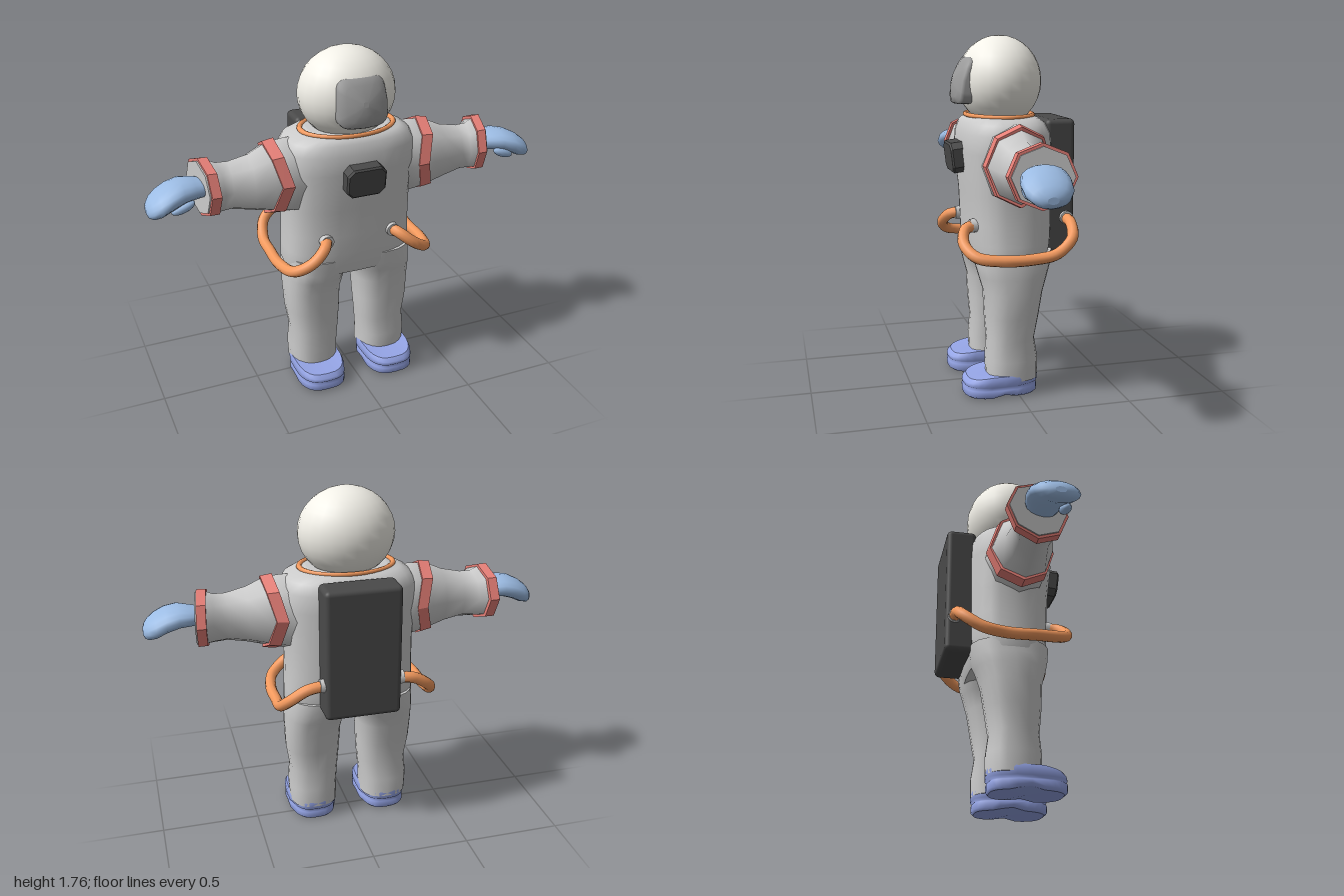
import * as THREE from 'three';
import { RoundedBoxGeometry } from 'three/addons/geometries/RoundedBoxGeometry.js';

const COLORS = {
  suit: 0xcccccc, helmet: 0xf2f0e8, visor: 0x9a9a9a, dark: 0x4a4a4a,
  band: 0xe88078, hose: 0xf49a5e, glove: 0x9cbce4, boot: 0x96a6e8,
};

const power = (v, e) => Math.sign(v) * Math.abs(v) ** (2 / e);

// Skin a list of rings (arrays of [x, y, z]) and close both ends.
function loft(rings, flat = false) {
  const n = rings[0].length, pos = [], idx = [];
  rings.forEach(r => r.forEach(p => pos.push(...p)));
  for (let i = 0; i < rings.length - 1; i++) {
    for (let j = 0; j < n; j++) {
      const a = i * n + j, b = i * n + (j + 1) % n;
      idx.push(a, a + n, b, b, a + n, b + n);
    }
  }
  [rings[0], rings[rings.length - 1]].forEach((r, end) => {
    const base = pos.length / 3, mid = [0, 1, 2].map(k => r.reduce((s, p) => s + p[k], 0) / n);
    r.forEach(p => pos.push(...p));
    pos.push(...mid);
    for (let j = 0; j < n; j++) {
      const a = base + j, b = base + (j + 1) % n;
      idx.push(base + n, end ? b : a, end ? a : b);
    }
  });
  let g = new THREE.BufferGeometry();
  g.setAttribute('position', new THREE.Float32BufferAttribute(pos, 3));
  g.setIndex(idx);
  if (flat) g = g.toNonIndexed();
  g.computeVertexNormals();
  return g;
}

// Sections stacked upwards: [y, x0, x1, z0, z1]
function stackY(sections, n, e, bend = p => p) {
  return loft(sections.map(([y, x0, x1, z0, z1]) => Array.from({ length: n }, (_, j) => {
    const t = j / n * Math.PI * 2, c = power(Math.cos(t), e), s = power(Math.sin(t), e);
    return bend([(x0 + x1) / 2 + c * (x1 - x0) / 2, y, (z0 + z1) / 2 + s * (z1 - z0) / 2]);
  })));
}

// Sections stacked outwards along the arm: [x, y0, y1, z0, z1]
function stackX(sections, n, e, bend = p => p, flat = false) {
  return loft(sections.map(([x, y0, y1, z0, z1]) => Array.from({ length: n }, (_, j) => {
    const t = j / n * Math.PI * 2, c = power(Math.cos(t), e), s = power(Math.sin(t), e);
    return bend([x, (y0 + y1) / 2 + s * (y1 - y0) / 2, (z0 + z1) / 2 + c * (z1 - z0) / 2], s);
  })), flat);
}

// Mirror a geometry across x = 0 and keep its faces outward.
function mirrored(geo) {
  const g = geo.index ? geo.toNonIndexed() : geo.clone();
  g.scale(-1, 1, 1);
  for (const a of Object.values(g.attributes)) {
    const k = a.itemSize;
    for (let i = 0; i < a.count; i += 3) {
      for (let c = 0; c < k; c++) {
        const u = (i + 1) * k + c, v = (i + 2) * k + c, tmp = a.array[u];
        a.array[u] = a.array[v];
        a.array[v] = tmp;
      }
    }
  }
  return g;
}

// Curved faceplate made from growing rounded squares, with a rim turned back.
function visorGeometry() {
  const ring = (k, drop) => Array.from({ length: 32 }, (_, j) => {
    const t = j / 32 * Math.PI * 2;
    const y = 1.545 + 0.115 * k * power(Math.cos(t), 5);
    const x = 0.125 * k * power(Math.sin(t), 5) * (1 - 0.5 * Math.max(0, y - 1.55));
    return [x, y, 0.272 - 2 * x * x - 2.1 * (y - 1.48) ** 2 - drop];
  });
  return loft([ring(1, 0.09), ring(1, 0.012), ring(0.94, 0), ring(0.7, 0), ring(0.4, 0), ring(0.1, 0)]);
}

export function createModel() {
  const model = new THREE.Group();
  model.name = 'astronaut';
  const mats = {};
  for (const k in COLORS) mats[k] = new THREE.MeshStandardMaterial({ color: COLORS[k] });
  const add = (name, geo, mat) => {
    const m = new THREE.Mesh(geo, mats[mat]);
    m.name = name;
    model.add(m);
    return m;
  };
  const pair = (name, geo, mat) => {
    add('left' + name, geo, mat);
    add('right' + name, mirrored(geo), mat);
  };

  // Torso
  add('torso', stackY([
    [0.64, -0.32, 0.32, -0.17, 0.185], [0.68, -0.333, 0.333, -0.185, 0.195],
    [0.76, -0.33, 0.33, -0.2, 0.207], [0.86, -0.325, 0.325, -0.205, 0.212],
    [1.0, -0.325, 0.325, -0.205, 0.218], [1.2, -0.34, 0.34, -0.205, 0.24],
    [1.29, -0.335, 0.335, -0.2, 0.232], [1.34, -0.31, 0.31, -0.175, 0.215],
    [1.365, -0.26, 0.26, -0.145, 0.195], [1.375, -0.2, 0.2, -0.11, 0.16],
  ], 28, 2.7), 'suit');

  // Legs
  pair('Leg', stackY([
    [0.08, 0.07, 0.315, -0.11, 0.145], [0.18, 0.07, 0.32, -0.11, 0.148],
    [0.28, 0.06, 0.312, -0.095, 0.14], [0.4, 0.052, 0.33, -0.115, 0.15],
    [0.52, 0.047, 0.335, -0.135, 0.155], [0.6, 0.03, 0.335, -0.16, 0.178],
    [0.65, 0, 0.333, -0.178, 0.19], [0.72, -0.02, 0.325, -0.19, 0.198],
  ], 20, 2.5), 'suit');

  // Boots: sole and upper split by a groove, raised instep, sloping toe
  pair('Boot', stackY([
    [0, 0.08, 0.305, -0.095, 0.25], [0.012, 0.067, 0.32, -0.105, 0.265],
    [0.044, 0.067, 0.32, -0.105, 0.265], [0.053, 0.077, 0.31, -0.097, 0.256],
    [0.062, 0.066, 0.321, -0.108, 0.265], [0.095, 0.066, 0.321, -0.11, 0.262],
    [0.112, 0.072, 0.315, -0.108, 0.245],
  ], 28, 2.9, ([x, y, z]) => [
    0.194 + (x - 0.194) * (z < 0 ? 0.93 : 1),
    y < 0.02 ? y + 0.018 * Math.exp(-(((z - 0.06) / 0.04) ** 2)) : y - (y > 0.07 ? Math.max(0, z - 0.13) * 0.14 : 0), z,
  ]), 'boot');

  // Arms end in a wrist plane turned slightly forward
  const skew = ([x, y, z]) => [x - (x > 0.65 ? 0.16 * (z - 0.02) : 0), y, z];
  pair('Arm', stackX([
    [0.24, 0.95, 1.35, -0.14, 0.18], [0.33, 0.965, 1.35, -0.13, 0.183],
    [0.41, 0.985, 1.342, -0.115, 0.178], [0.5, 1.01, 1.3, -0.078, 0.152],
    [0.6, 1.032, 1.278, -0.066, 0.132], [0.66, 1.03, 1.28, -0.08, 0.14],
    [0.7, 1.03, 1.3, -0.11, 0.16], [0.745, 1.032, 1.298, -0.115, 0.16],
  ], 8, 2, skew), 'suit');

  // Shoulder bands (chevron over the shoulder) and cuffs
  const chevron = ([x, y, z], s) => [x + 0.05 * Math.abs(s), y, z];
  pair('ShoulderBand', stackX([
    [0.322, 0.965, 1.358, -0.138, 0.19], [0.38, 0.975, 1.35, -0.128, 0.188],
  ], 8, 2, chevron, true), 'band');
  pair('Cuff', stackX([
    [0.692, 1.018, 1.31, -0.125, 0.172], [0.738, 1.018, 1.312, -0.127, 0.172],
  ], 8, 2, skew, true), 'band');

  // Gloves: mitten with drooping fingers, and a thumb
  pair('Glove', stackX([
    [0.7, 1.135, 1.21, -0.02, 0.1], [0.77, 1.13, 1.225, -0.045, 0.125],
    [0.83, 1.125, 1.234, -0.056, 0.152], [0.89, 1.105, 1.22, -0.056, 0.168],
    [0.94, 1.08, 1.195, -0.048, 0.165], [0.975, 1.072, 1.168, -0.025, 0.145],
    [0.993, 1.078, 1.145, 0.005, 0.115], [1.0, 1.095, 1.125, 0.035, 0.085],
  ], 16, 2), 'glove');
  const thumb = new THREE.SphereGeometry(1, 12, 8);
  thumb.scale(0.06, 0.024, 0.026);
  thumb.rotateZ(-0.35);
  thumb.translate(0.84, 1.122, 0.12);
  pair('Thumb', thumb, 'glove');

  // Helmet, visor and neck ring
  const helmet = new THREE.SphereGeometry(1, 24, 16);
  helmet.scale(0.24, 0.222, 0.207);
  helmet.translate(0, 1.538, 0.028);
  add('helmet', helmet, 'helmet');
  add('visor', visorGeometry(), 'visor');
  const ring = add('neckRing', new THREE.TorusGeometry(0.235, 0.014, 8, 32).rotateX(Math.PI / 2), 'hose');
  ring.scale.set(1, 0.8, 0.7);
  ring.position.set(0, 1.374, 0.03);

  // Chest panel with clipped corners
  const w = 0.092, h = 0.067, c = 0.025;
  const shape = new THREE.Shape([
    [-w + c, -h], [w - c, -h], [w, -h + c], [w, h - c], [w - c, h], [-w + c, h], [-w, h - c], [-w, -h + c],
  ].map(p => new THREE.Vector2(...p)));
  const panel = add('chestPanel', new THREE.ExtrudeGeometry(shape, {
    depth: 0.06, bevelSize: 0.008, bevelThickness: 0.008, bevelSegments: 1,
  }), 'dark');
  panel.position.set(0, 1.175, 0.22);
  panel.rotation.x = 0.12;

  // Backpack
  const pack = add('backpack', new RoundedBoxGeometry(0.38, 0.665, 0.15, 3, 0.025), 'dark');
  pack.position.set(0, 1.025, -0.235);

  // Hoses from the waist round to the pack, with end collars
  const path = new THREE.CatmullRomCurve3([
    [0.165, 0.855, 0.17], [0.2, 0.84, 0.245], [0.27, 0.785, 0.27], [0.35, 0.732, 0.225],
    [0.385, 0.715, 0.1], [0.385, 0.715, -0.05], [0.385, 0.735, -0.16],
    [0.35, 0.8, -0.245], [0.27, 0.855, -0.265], [0.165, 0.87, -0.265],
  ].map(p => new THREE.Vector3(...p)));
  pair('Hose', new THREE.TubeGeometry(path, 48, 0.028, 10), 'hose');
  pair('HoseFrontCollar', new THREE.CylinderGeometry(0.034, 0.034, 0.04, 12)
    .rotateX(Math.PI / 2).translate(0.175, 0.85, 0.2), 'suit');
  pair('HoseBackCollar', new THREE.CylinderGeometry(0.034, 0.034, 0.03, 12)
    .rotateZ(Math.PI / 2).translate(0.195, 0.87, -0.265), 'suit');

  return model;
}
